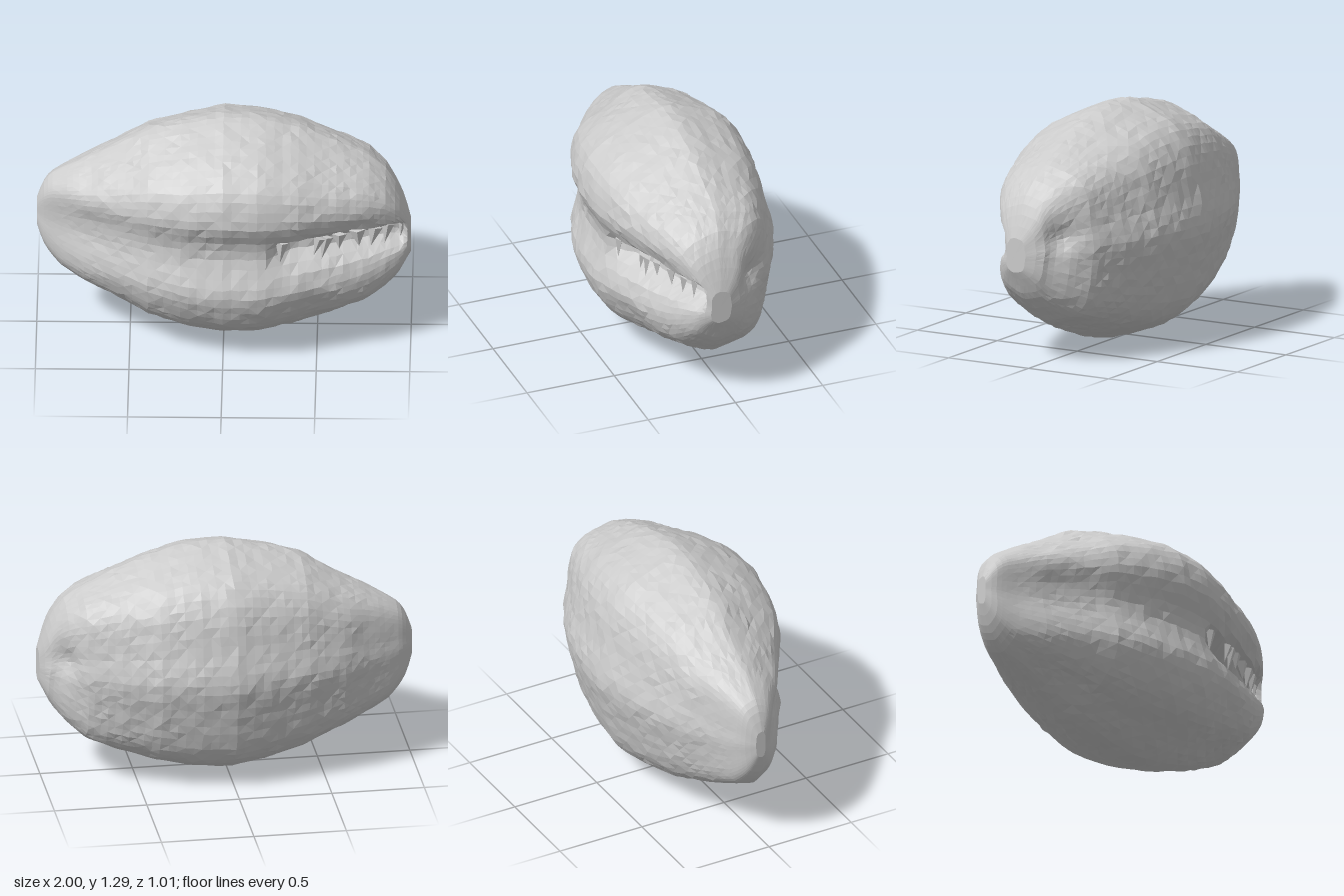
import * as THREE from 'three';

const material = new THREE.MeshStandardMaterial({ color: 0xcccccc, flatShading: true, side: THREE.DoubleSide });

// Outline by station: x, bottom y, top y, back z, front z
const stations = [
  [-1, 0.58, 0.74, -0.08, -0.01], [-0.97, 0.48, 0.83, -0.12, 0.03], [-0.93, 0.41, 0.89, -0.15, 0.06],
  [-0.87, 0.34, 0.93, -0.18, 0.1], [-0.75, 0.27, 1.0, -0.24, 0.19], [-0.6, 0.19, 1.08, -0.33, 0.28],
  [-0.4, 0.09, 1.2, -0.41, 0.4], [-0.2, 0.03, 1.25, -0.46, 0.47], [0, 0, 1.29, -0.5, 0.5],
  [0.2, 0.01, 1.28, -0.485, 0.5], [0.4, 0.06, 1.23, -0.45, 0.455], [0.6, 0.13, 1.15, -0.37, 0.385],
  [0.77, 0.21, 1.07, -0.28, 0.31], [0.87, 0.3, 0.99, -0.18, 0.26], [0.93, 0.37, 0.9, -0.1, 0.225],
  [0.97, 0.45, 0.8, -0.07, 0.195], [1, 0.51, 0.7, 0.02, 0.15],
];

// Cross-section (z, y) scaled to -1..1, from the front upward, over the top and round the back
const section = [
  [1, 0], [1.01, 0.25], [1, 0.44], [0.92, 0.63], [0.7, 0.78], [0.4, 0.9], [0.18, 0.97], [0.02, 1],
  [-0.3, 0.93], [-0.64, 0.8], [-0.8, 0.63], [-0.92, 0.28], [-1, 0], [-0.92, -0.3], [-0.8, -0.62],
  [-0.66, -0.78], [-0.4, -0.9], [0.04, -1], [0.2, -0.98], [0.5, -0.84], [0.8, -0.68], [0.95, -0.48], [1, -0.33],
];

// Shallow hollows: x, y, z, radius, depth
const hollows = [
  [-0.72, 0.93, 0.12, 0.1, 0.02], [-0.45, 1.1, 0.22, 0.18, 0.015], [0.9, 0.7, -0.14, 0.13, 0.045],
  [0.45, 0.3, 0.38, 0.15, 0.015],
];

function stationAt(x) {
  let k = 1;
  while (k < stations.length - 1 && stations[k][0] < x) k++;
  const a = stations[k - 1], b = stations[k];
  const t = (x - a[0]) / (b[0] - a[0]);
  return a.map((v, i) => v + (b[i] - v) * t);
}

const smooth = THREE.MathUtils.smoothstep;

// Depth of the long front groove, with a sharper slit under the upper lip on the left half
function grooveDepth(x, y) {
  const along = (0.3 + 0.7 * smooth(1 - Math.abs(x), 0, 0.35)) * (0.7 + 0.3 * smooth(x, -0.5, 0.1));
  const wide = 0.06 * along * smooth(y, 0.42, 0.66) * (1 - smooth(y, 0.7, 0.88));
  const slit = smooth(x, 0.22, 0.4) * (1 - smooth(x, 0.93, 0.99));
  return wide + 0.1 * slit * smooth(y, 0.56, 0.66) * (1 - smooth(y, 0.7, 0.75));
}

let seed = 7;
function noise() {
  seed = (seed * 16807) % 2147483647;
  return seed / 2147483647 - 0.5;
}

function createShell() {
  const rows = 56, cols = 76;
  const curve = new THREE.CatmullRomCurve3(section.map(([z, y]) => new THREE.Vector3(0, y, z)), true);
  const loop = curve.getSpacedPoints(cols).slice(0, cols);
  const pos = [], index = [];
  const p = new THREE.Vector3(), c = new THREE.Vector3();
  for (let i = 0; i <= rows; i++) {
    const t = i / rows;
    const x = 0.5 * (2 * t - 1) - 0.5 * Math.cos(Math.PI * t);
    const [, y0, y1, z0, z1] = stationAt(x);
    // Slightly uneven skin, calmer towards the ends
    const rough = 0.008 * smooth(z1 - z0, 0.1, 0.8);
    // The section grows squarer towards the ends
    const square = 0.07 * smooth(Math.abs(x), 0.5, 0.85);
    for (const q of loop) {
      const fill = 1 + square * Math.sin(2 * Math.atan2(q.y, q.z)) ** 2;
      p.set(x, (y0 + y1) / 2 + fill * q.y * (y1 - y0) / 2, (z0 + z1) / 2 + fill * q.z * (z1 - z0) / 2);
      if (q.z > 0) p.z -= Math.min(grooveDepth(x, p.y), (z1 - z0) * 0.4) * smooth(q.z, 0.3, 0.85);
      for (const [hx, hy, hz, r, depth] of hollows) {
        c.set(hx, hy, hz);
        const f = depth * Math.exp(-p.distanceToSquared(c) / (r * r) * 2);
        c.set(p.x * 0.6, 0.645, 0).sub(p).normalize();
        p.addScaledVector(c, f);
      }
      pos.push(p.x + rough * noise(), p.y + rough * noise(), p.z + rough * noise());
    }
  }
  for (let i = 0; i < rows; i++) {
    for (let j = 0; j < cols; j++) {
      const k = (j + 1) % cols;
      const a = i * cols + j, b = a + cols, d = i * cols + k, e = d + cols;
      // Alternating diagonals keep the facets irregular
      if ((i + j) % 2) index.push(a, b, d, b, e, d);
      else index.push(a, b, e, a, e, d);
    }
  }
  // Blunt end caps
  for (const [row, x, y, z] of [[0, -1, 0.66, -0.045], [rows, 1, 0.605, 0.085]]) {
    const centre = pos.length / 3;
    pos.push(x, y, z);
    for (let j = 0; j < cols; j++) {
      const a = row * cols + j, b = row * cols + (j + 1) % cols;
      if (row) index.push(centre, a, b);
      else index.push(centre, b, a);
    }
  }
  const geometry = new THREE.BufferGeometry();
  geometry.setAttribute('position', new THREE.Float32BufferAttribute(pos, 3));
  geometry.setIndex(index);
  geometry.computeVertexNormals();
  return geometry;
}

export function createModel() {
  const model = new THREE.Group();
  const shell = new THREE.Mesh(createShell(), material);
  shell.name = 'shell';
  model.add(shell);

  // Ragged shards hanging from the upper lip: x, length, width, sideways tilt
  const shards = new THREE.Group();
  shards.name = 'slitShards';
  const list = [
    [0.31, 0.13, 0.035, 0.1], [0.5, 0.11, 0.03, 0.3], [0.54, 0.14, 0.035, 0.2], [0.62, 0.09, 0.04, 0],
    [0.72, 0.1, 0.045, -0.1], [0.8, 0.12, 0.04, 0.2], [0.87, 0.12, 0.035, 0.15], [0.95, 0.11, 0.025, 0.1],
  ];
  for (const [x, length, width, tilt] of list) {
    const shard = new THREE.Mesh(new THREE.ConeGeometry(width, length, 4), material);
    shard.name = 'shard';
    shard.rotation.set(Math.PI, 0, tilt);
    shard.scale.z = 0.6;
    const front = stationAt(x)[4];
    shard.position.set(x, 0.73 - length / 2, front - 0.075);
    shards.add(shard);
  }
  model.add(shards);
  return model;
}
